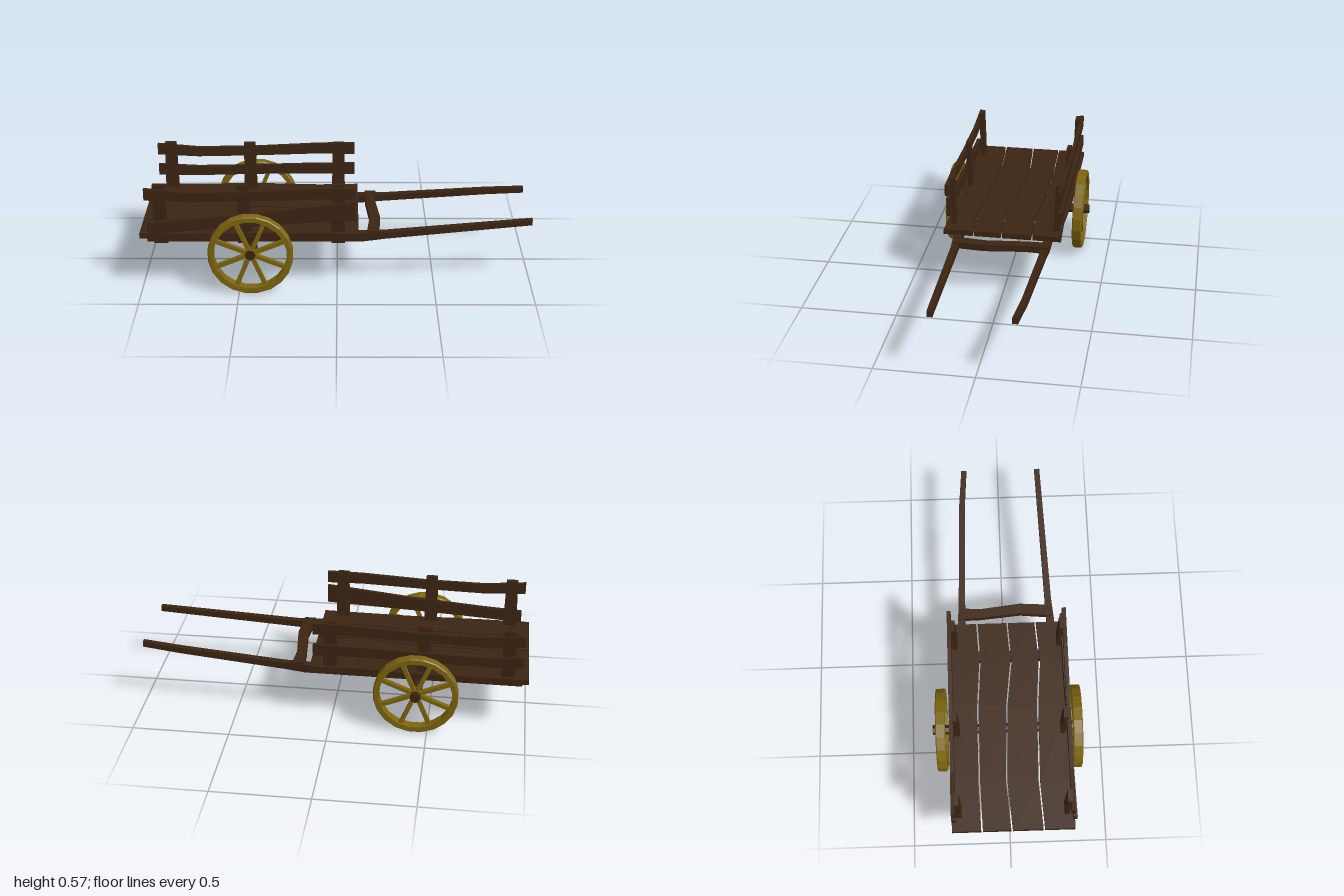
import * as THREE from 'three';

const wood = new THREE.MeshStandardMaterial({ color: 0x3b2412, flatShading: true });
wood.name = 'dark brown wood';
const paint = new THREE.MeshStandardMaterial({ color: 0x7c640f, flatShading: true });
paint.name = 'ochre wheel paint';

// Timber along an axis (0 x, 1 y, 2 z), from sections [x, y, z, a, b];
// a and b are the full sizes on the next two axes in cyclic order.
function beam(name, axis, sections) {
  const u = (axis + 1) % 3, v = (axis + 2) % 3, pos = [], index = [];
  for (const [x, y, z, a, b] of sections)
    for (const [i, j] of [[-1, -1], [1, -1], [1, 1], [-1, 1]]) {
      const p = [x, y, z];
      p[u] += i * a / 2;
      p[v] += j * b / 2;
      pos.push(...p);
    }
  const quad = (a, b, c, d) => index.push(a, b, c, a, c, d);
  const last = (sections.length - 1) * 4;
  for (let k = 0; k < last; k += 4)
    for (let i = 0; i < 4; i++) {
      const n = (i + 1) % 4;
      quad(k + i, k + n, k + 4 + n, k + 4 + i);
    }
  quad(0, 3, 2, 1);
  quad(last, last + 1, last + 2, last + 3);
  const indexed = new THREE.BufferGeometry();
  indexed.setAttribute('position', new THREE.Float32BufferAttribute(pos, 3));
  indexed.setIndex(index);
  const geo = indexed.toNonIndexed();
  geo.computeVertexNormals();
  const mesh = new THREE.Mesh(geo, wood);
  mesh.name = name;
  return mesh;
}

// Spoked wheel facing z
function makeWheel(name) {
  const wheel = new THREE.Group();
  wheel.name = name;
  const profile = [[0.187, -0.025], [0.212, -0.025], [0.217, -0.02], [0.217, 0.02],
    [0.212, 0.025], [0.187, 0.025], [0.187, -0.025]].map(p => new THREE.Vector2(...p));
  const rim = new THREE.Mesh(new THREE.LatheGeometry(profile, 20, Math.PI / 20).rotateX(Math.PI / 2), paint);
  rim.name = 'rim';
  const hub = new THREE.Mesh(new THREE.CylinderGeometry(0.03, 0.03, 0.036, 10).rotateX(Math.PI / 2), paint);
  hub.name = 'hub';
  wheel.add(rim, hub);
  for (let i = 0; i < 8; i++) {
    const spoke = new THREE.Mesh(new THREE.BoxGeometry(0.02, 0.17, 0.024).translate(0, 0.107, 0), paint);
    spoke.name = 'spoke';
    spoke.rotation.z = (i + 0.5) * Math.PI / 4;
    wheel.add(spoke);
  }
  return wheel;
}

export function createModel() {
  const cart = new THREE.Group();
  cart.name = 'handCart';

  // Deck planks with wavy seams
  const xs = [-1, -0.75, -0.35, -0.1, 0.11];
  const seams = [
    [-0.298, -0.3, -0.302, -0.288, -0.297],
    [-0.143, -0.15, -0.148, -0.13, -0.14],
    [0.008, -0.01, 0.002, 0.033, 0.02],
    [0.17, 0.155, 0.163, 0.182, 0.168],
    [0.33, 0.33, 0.322, 0.325, 0.33]];
  for (let i = 0; i < 4; i++)
    cart.add(beam('deckPlank', 0, xs.map((x, k) => {
      const a = seams[i][k], b = seams[i + 1][k];
      return [x, 0.299, (a + b) / 2, 0.028, b - a - 0.008];
    })));

  // Long shafts running under the deck and out to the handles
  cart.add(beam('frontShaft', 0, [
    [-0.97, 0.264, 0.25, 0.044, 0.04], [0.14, 0.266, 0.25, 0.044, 0.04],
    [0.25, 0.272, 0.243, 0.036, 0.034], [1, 0.33, 0.213, 0.03, 0.028]]));
  cart.add(beam('backShaft', 0, [
    [-0.97, 0.264, -0.22, 0.044, 0.04], [0.14, 0.266, -0.22, 0.044, 0.04],
    [0.25, 0.272, -0.217, 0.036, 0.034], [0.8, 0.315, -0.203, 0.032, 0.03],
    [1, 0.33, -0.188, 0.03, 0.028]]));

  // Cross bars
  cart.add(beam('handleCrossBar', 2, [
    [0.178, 0.28, -0.235, 0.06, 0.035], [0.175, 0.28, -0.12, 0.05, 0.035],
    [0.197, 0.28, 0.09, 0.055, 0.035], [0.183, 0.28, 0.26, 0.06, 0.035]]));
  cart.add(beam('underCrossBar', 2, [
    [-0.06, 0.266, -0.23, 0.05, 0.036], [-0.06, 0.266, 0.26, 0.05, 0.036]]));

  // Axle and its blocks
  const axle = new THREE.Mesh(new THREE.CylinderGeometry(0.026, 0.026, 0.772, 8).rotateX(Math.PI / 2), wood);
  axle.name = 'axle';
  axle.position.set(-0.438, 0.219, 0);
  cart.add(axle);
  for (const z of [0.25, -0.22])
    cart.add(beam('axleBlock', 1, [[-0.438, 0.18, z, 0.04, 0.055], [-0.438, 0.245, z, 0.04, 0.055]]));

  // Wheels
  const frontWheel = makeWheel('frontWheel');
  frontWheel.position.set(-0.438, 0.217, 0.359);
  const backWheel = makeWheel('backWheel');
  backWheel.position.set(-0.438, 0.217, -0.338);
  backWheel.rotation.x = -0.012;
  cart.add(frontWheel, backWheel);

  // Side posts
  for (const x of [-0.895, -0.47, 0.006]) {
    cart.add(beam('frontPost', 1, [
      [x, 0.245, 0.283, 0.02, 0.07], [x, 0.42, 0.289, 0.024, 0.066], [x, 0.572, 0.294, 0.025, 0.06]]));
    cart.add(beam('backPost', 1, [
      [x, 0.29, -0.259, 0.034, 0.07], [x, 0.42, -0.262, 0.028, 0.066], [x, 0.57, -0.264, 0.024, 0.06]]));
  }

  // Side rails
  const railX = [-0.968, -0.75, -0.45, -0.1, 0.092];
  const topY = [0.525, 0.51, 0.515, 0.53, 0.53];
  const topH = [0.06, 0.052, 0.05, 0.056, 0.062];
  const lowY = [0.405, 0.398, 0.405, 0.412, 0.41];
  cart.add(beam('frontTopRail', 0, railX.map((x, k) => [x, topY[k], 0.309, topH[k], 0.02])));
  cart.add(beam('backTopRail', 0, railX.map((x, k) => [x, topY[k], -0.281, topH[k], 0.02])));
  cart.add(beam('backLowerRail', 0, railX.map((x, k) => [x, lowY[k], -0.283, topH[k], 0.02])));
  // Lower front rail has slipped at one end
  cart.add(beam('frontLowerRail', 0, [
    [-0.955, 0.345, 0.326, 0.064, 0.02], [-0.75, 0.362, 0.32, 0.062, 0.02],
    [-0.4, 0.39, 0.312, 0.07, 0.02], [0.092, 0.433, 0.302, 0.098, 0.02]]));

  return cart;
}
